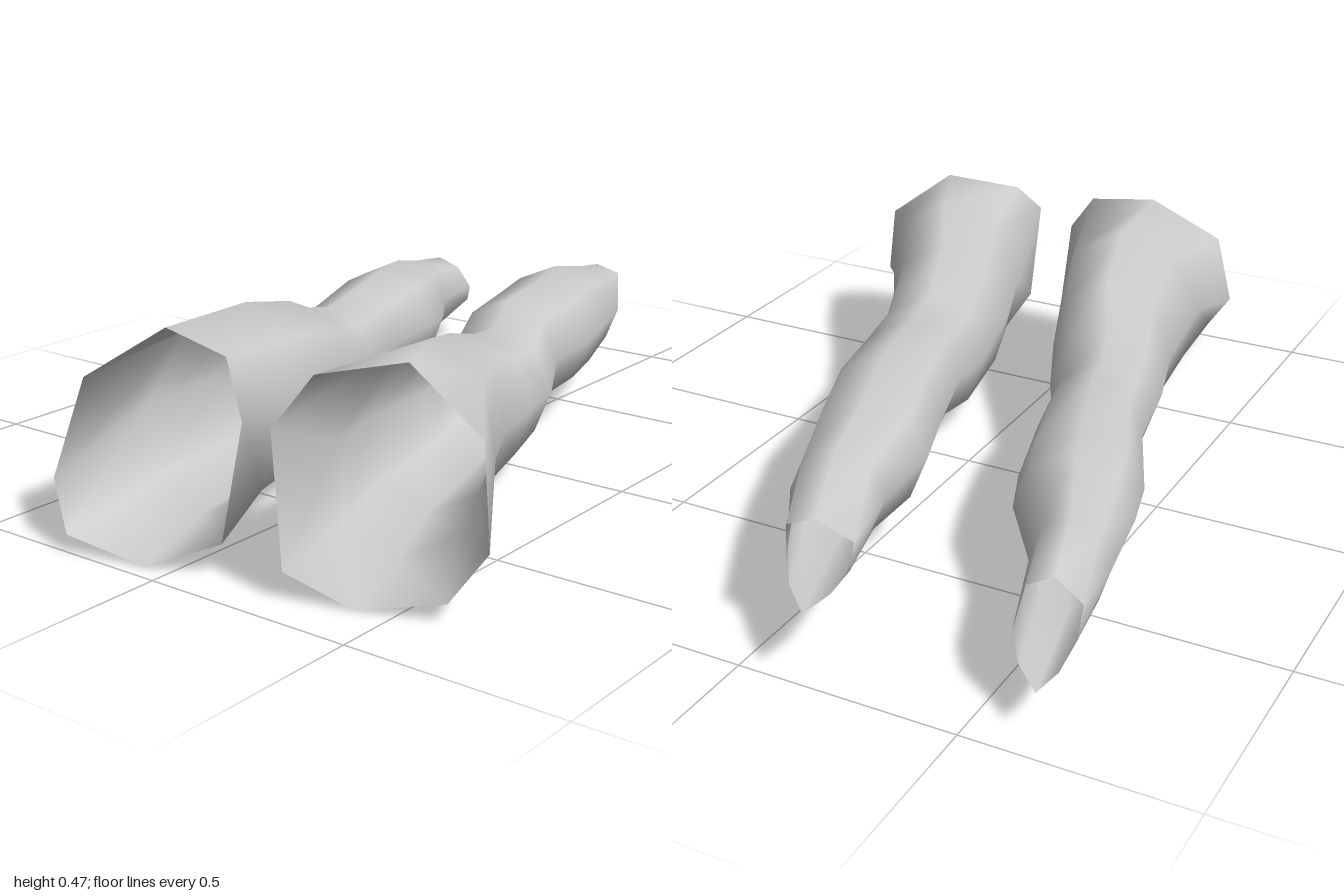
import * as THREE from 'three';

const SIDES = 8;
const material = new THREE.MeshStandardMaterial({ color: 0xcccccc, side: THREE.DoubleSide });

// Oval cross-section, skewed so that it stands square to the slanting leg.
function oval([z, left, right, bottom, top, tilt = 0]) {
  const cx = (left + right) / 2, rx = (right - left) / 2;
  const cy = (bottom + top) / 2, ry = (top - bottom) / 2;
  return Array.from({ length: SIDES }, (_, i) => {
    const a = (i / SIDES) * Math.PI * 2;
    const c = Math.cos(a), s = Math.sin(a);
    return [cx + rx * c, cy + ry * s, z - 0.27 * rx * c - tilt * s];
  });
}

// Open skin through a row of cross-sections running from thigh to ankle.
function makeLeg(name, thighRim, sections, ankleRim) {
  const rings = [thighRim, ...sections.map(oval), ankleRim];
  const index = [];
  for (let i = 0; i < rings.length - 1; i++) {
    for (let j = 0; j < SIDES; j++) {
      const k = (j + 1) % SIDES;
      const a = i * SIDES + j, b = i * SIDES + k;
      const c = a + SIDES, d = b + SIDES;
      index.push(a, c, b, b, c, d);
    }
  }
  const geometry = new THREE.BufferGeometry();
  geometry.setAttribute('position', new THREE.Float32BufferAttribute(rings.flat(2), 3));
  geometry.setIndex(index);
  geometry.computeVertexNormals();
  const mesh = new THREE.Mesh(geometry, material);
  mesh.name = name;
  return mesh;
}

export function createModel() {
  const model = new THREE.Group();
  model.name = 'legs';

  // Rims: x, y, z per corner, anticlockwise from the +x side.
  // Sections: z, left, right, bottom, top, backward lean of the top.
  model.add(makeLeg('rightLeg',
    [[0.12, 0.32, 0.85], [0.035, 0.43, 0.8], [-0.145, 0.46, 0.79], [-0.305, 0.345, 0.88],
      [-0.32, 0.14, 0.965], [-0.25, 0.04, 1], [-0.06, 0, 0.96], [0.1, 0.07, 0.9]],
    [
      [0.6, -0.345, 0.01, 0.005, 0.455, 0.08],
      [0.35, -0.37, -0.08, 0.01, 0.405, 0.04],
      [0.17, -0.42, -0.155, 0.02, 0.35],   // knee
      [0.05, -0.44, -0.215, 0.04, 0.32],
      [-0.08, -0.475, -0.24, 0.075, 0.33],
      [-0.3, -0.57, -0.3, 0.05, 0.335],    // calf
      [-0.42, -0.6, -0.345, 0.04, 0.33],
      [-0.6, -0.63, -0.465, 0.065, 0.285],
    ],
    [[-0.54, 0.16, -0.85], [-0.54, 0.23, -0.79], [-0.595, 0.255, -0.775], [-0.65, 0.2, -0.76],
      [-0.66, 0.15, -0.81], [-0.65, 0.11, -0.87], [-0.63, 0.095, -0.93], [-0.57, 0.11, -0.88]]));

  model.add(makeLeg('leftLeg',
    [[0.655, 0.135, 0.75], [0.6, 0.335, 0.69], [0.43, 0.465, 0.705], [0.26, 0.43, 0.79],
      [0.237, 0.34, 0.895], [0.275, 0.06, 0.915], [0.42, 0, 0.87], [0.6, 0.04, 0.81]],
    [
      [0.57, 0.17, 0.51, 0.005, 0.455, 0.06],
      [0.37, 0.1, 0.4, 0.015, 0.41, 0.04],
      [0.14, 0.05, 0.32, 0.03, 0.355],     // knee
      [0.03, 0.035, 0.3, 0.06, 0.345],
      [-0.08, 0, 0.245, 0.105, 0.38],
      [-0.28, -0.06, 0.21, 0.1, 0.38],     // calf
      [-0.46, -0.12, 0.145, 0.09, 0.375],
      [-0.64, -0.125, 0.08, 0.115, 0.335],
    ],
    [[-0.04, 0.2, -0.87], [-0.04, 0.27, -0.865], [-0.1, 0.29, -0.85], [-0.18, 0.25, -0.835],
      [-0.185, 0.2, -0.86], [-0.175, 0.175, -0.92], [-0.16, 0.17, -1], [-0.085, 0.175, -0.93]]));

  return model;
}
